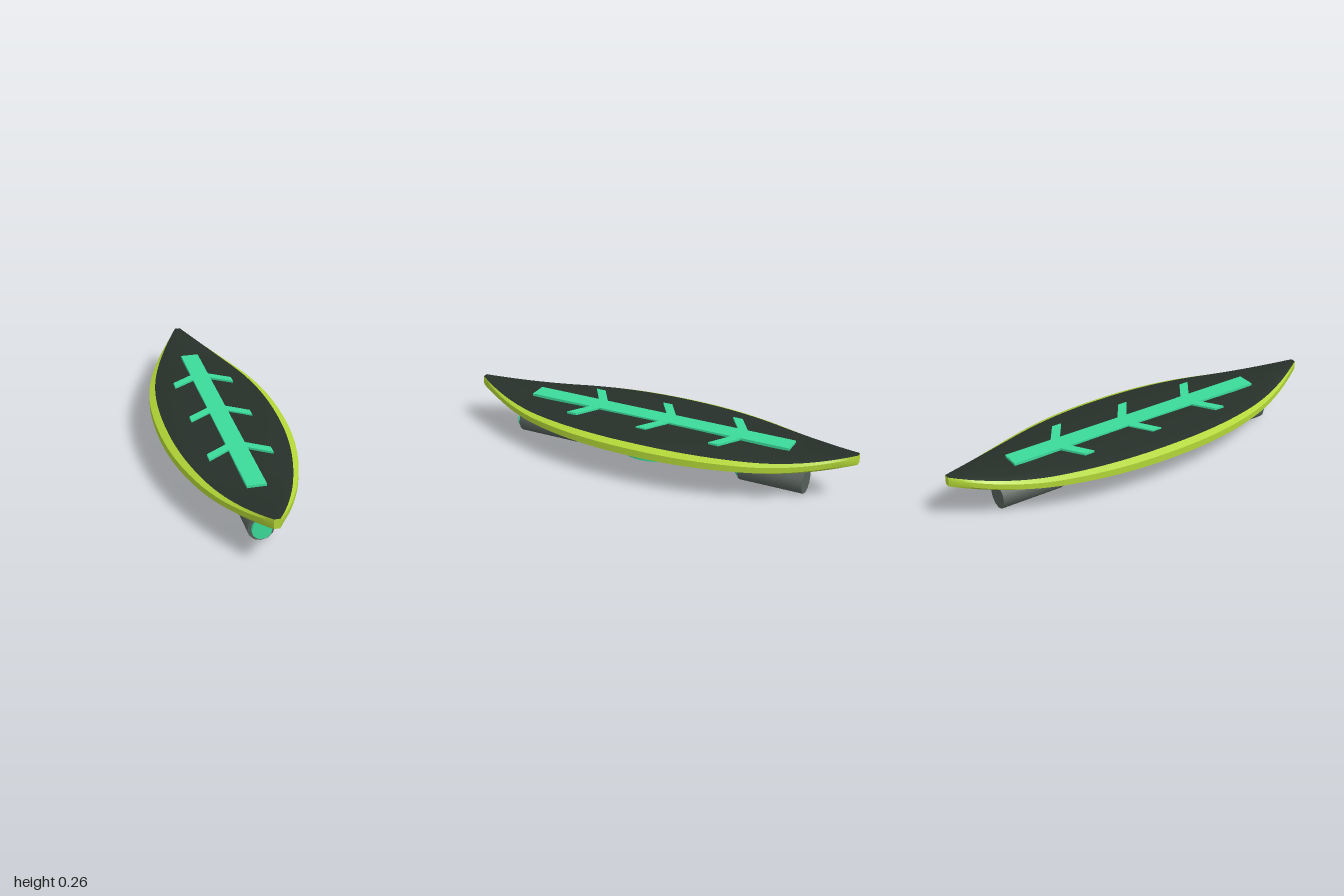
import * as THREE from 'three';
import { toCreasedNormals } from 'three/addons/utils/BufferGeometryUtils.js';

const mat = (name, color) => {
  const m = new THREE.MeshStandardMaterial({ color });
  m.name = name;
  return m;
};

// Point of the board's cross-section at z: u = share of half width,
// v = share of rim half height, c = share of the crown.
function boardPoint([u, v, c], z) {
  const a = Math.abs(z);
  const width = 0.015 + 0.295 * (1 - a ** 2.2);
  const rise = 0.052 * (Math.max(0, a - 0.55) / 0.45) ** 2;
  const rim = 0.0215 + 0.011 * (1 - a * a) ** 2 + 0.002 * a ** 4;
  const crown = 0.013 * (1 - a ** 6);
  return [u * width, 0.1825 + rise + v * rim + c * crown, z];
}

// Sweep part of the cross-section from tail to nose
function sweep(profile, steps = 56) {
  const pos = [], index = [], n = profile.length;
  for (let i = 0; i <= steps; i++) {
    const z = -1 + (2 * i) / steps;
    for (const p of profile) pos.push(...boardPoint(p, z));
  }
  for (let i = 0; i < steps; i++) {
    for (let j = 0; j < n - 1; j++) {
      const a = i * n + j, b = a + n;
      index.push(a, b, a + 1, b, b + 1, a + 1);
    }
  }
  const g = new THREE.BufferGeometry();
  g.setAttribute('position', new THREE.Float32BufferAttribute(pos, 3));
  g.setIndex(index);
  return toCreasedNormals(g, 0.5);
}

export function createModel() {
  const lime = mat('lime', 0xb2d637);
  const deckDark = mat('dark green', 0x263029);
  const mint = mat('mint', 0x3bdb9b);
  const grey = mat('grey', 0x56605a);

  const model = new THREE.Group();
  model.name = 'leafBoard';
  const add = (name, geometry, material, x = 0, y = 0, z = 0) => {
    const m = new THREE.Mesh(geometry, material);
    m.name = name;
    m.position.set(x, y, z);
    model.add(m);
    return m;
  };

  // Board: dark faces above and below, lime rim on both sides
  const top = [[-0.89, 1, 0], [-0.65, 1, 1], [0, 1, 1], [0.65, 1, 1], [0.89, 1, 0]];
  const bottom = top.map(([u, v, c]) => [-u, -v, -c]);
  const rimLeft = [[0.89, 1, 0], [1, 0.54, 0], [1, -0.54, 0], [0.89, -1, 0]];
  const rimRight = rimLeft.map(([u, v, c]) => [-u, -v, c]);
  add('deckTop', sweep(top), deckDark);
  add('deckBottom', sweep(bottom), deckDark);
  add('rimLeft', sweep(rimLeft), lime);
  add('rimRight', sweep(rimRight), lime);

  // Blunt tips closing the rim
  const tipShape = new THREE.Shape([...rimLeft, ...rimRight].map((p) => {
    const [x, y] = boardPoint(p, 1);
    return new THREE.Vector2(x, y);
  }));
  add('noseTip', new THREE.ShapeGeometry(tipShape), lime, 0, 0, 1);
  add('tailTip', new THREE.ShapeGeometry(tipShape), lime, 0, 0, -1).rotation.y = Math.PI;

  // Leaf vein: central stem and three pairs of slanted branches
  add('stem', new THREE.BoxGeometry(0.09, 0.018, 1.37), mint, 0, 0.227, 0);
  for (const z of [-0.35, 0.025, 0.4]) {
    for (const s of [1, -1]) {
      const branch = new THREE.Shape([
        [0.03, -0.105], [0.15, -0.025], [0.15, 0.025], [0.03, -0.055],
      ].map(([x, dz]) => new THREE.Vector2(s * x, -dz)));
      const g = new THREE.ExtrudeGeometry(branch, { depth: 0.018, bevelEnabled: false });
      g.rotateX(-Math.PI / 2);
      add(s > 0 ? 'branchLeft' : 'branchRight', g, mint, 0, 0.2175, z);
    }
  }

  // Rollers with mounts and mint front caps
  const roller = (r, length) =>
    toCreasedNormals(new THREE.CylinderGeometry(r, r, length, 12).rotateX(Math.PI / 2), 0.6);
  for (const [end, z] of [['front', 0.605], ['back', -0.6]]) {
    add(end + 'Roller', roller(0.062, 0.32), grey, 0, 0.064, z);
    add(end + 'RollerCap', roller(0.047, 0.03), mint, 0, 0.064, z + 0.162);
    add(end + 'Mount', new THREE.BoxGeometry(0.036, 0.04, 0.19), grey, 0, 0.128, z);
  }

  // Ring under the middle of the board
  const ringProfile = [[0.15, 0.09], [0.2, 0.09], [0.2, 0.127], [0.15, 0.127], [0.15, 0.09]]
    .map(([x, y]) => new THREE.Vector2(x, y));
  add('ring', toCreasedNormals(new THREE.LatheGeometry(ringProfile, 40), 0.6), mint);

  return model;
}
